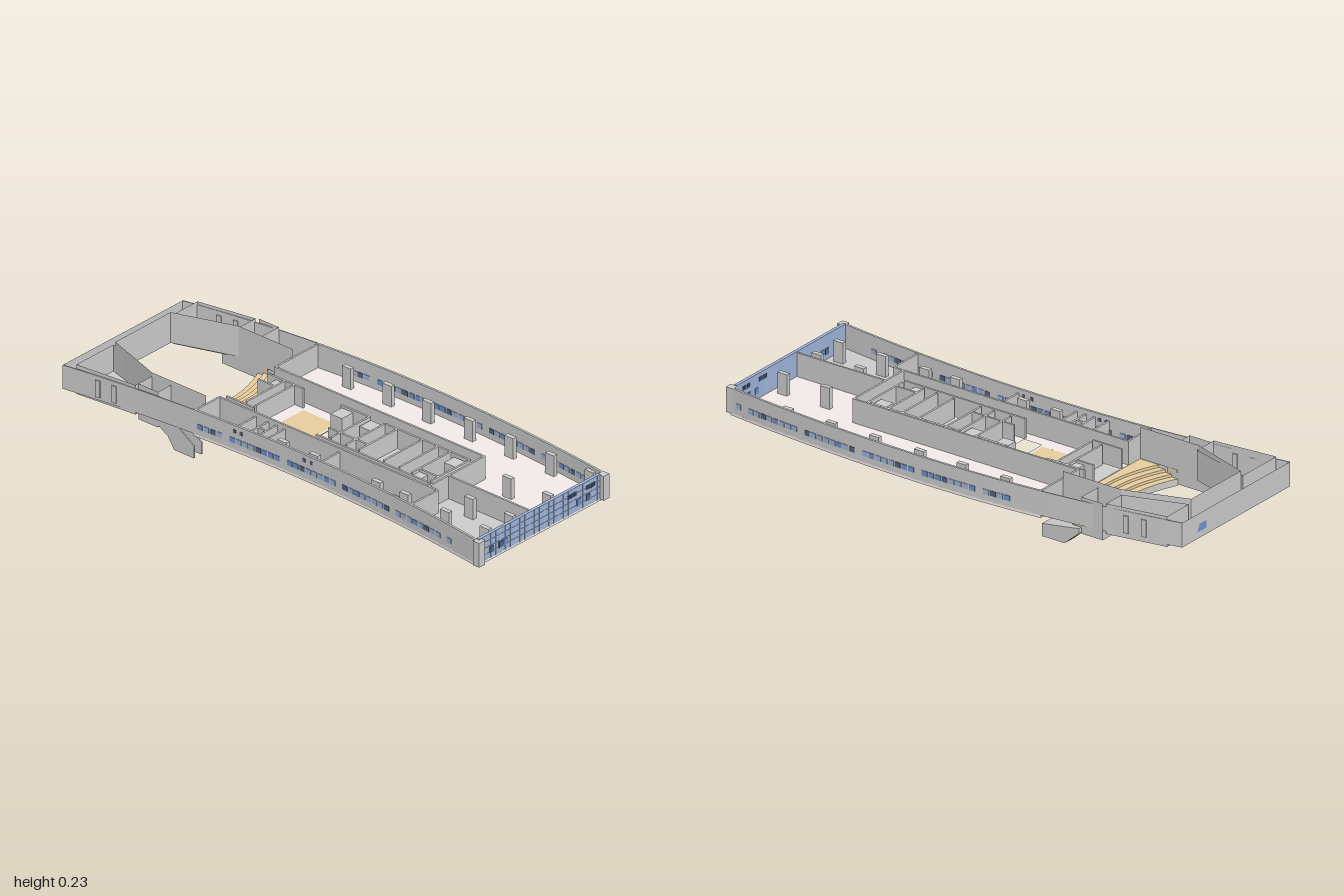
import * as THREE from 'three';

const mat = (color, side = THREE.FrontSide) =>
  new THREE.MeshStandardMaterial({ color, side, flatShading: true });
const GREY = mat(0xcccccc), PALE = mat(0xf2ebea), TAN = mat(0xe8ce9f), BLUE = mat(0x9fb3d9),
  DARK = mat(0x56647f), DEEP = mat(0x6f92cc), WHITE = mat(0xf4f4f4), SHEET = mat(0xcccccc, THREE.DoubleSide),
  TANSHEET = mat(0xe8ce9f, THREE.DoubleSide);

// Plan curves of the two long facades
const backZ = x => -0.382 + (x < 0.05 ? 0.097 : 0.069) * (x - 0.05) ** 2;
const frontZ = x => 0.295 + 0.075 * (x - 0.02) ** 2;
const curve = (f, x0, x1, n = 24) =>
  Array.from({ length: n + 1 }, (_, i) => { const x = x0 + (x1 - x0) * i / n; return [x, f(x)]; });

export function createModel() {
  const root = new THREE.Group();
  let group = root;
  const section = name => { group = new THREE.Group(); group.name = name; root.add(group); };
  const add = (name, geo, m) => {
    const mesh = new THREE.Mesh(geo, m);
    mesh.name = name;
    group.add(mesh);
    return mesh;
  };
  const box = (name, x0, x1, y0, y1, z0, z1, m = GREY) =>
    add(name, new THREE.BoxGeometry(x1 - x0, y1 - y0, z1 - z0), m)
      .position.set((x0 + x1) / 2, (y0 + y1) / 2, (z0 + z1) / 2);
  // Horizontal plate from an [x, z] outline, with rectangular holes [x0, x1, z0, z1]
  const plate = (name, pts, y0, y1, m = GREY, holes = []) => {
    const v = ([x, z]) => new THREE.Vector2(x, -z);
    const s = new THREE.Shape(pts.map(v));
    for (const [a, b, c, d] of holes) s.holes.push(new THREE.Path([[a, c], [b, c], [b, d], [a, d]].map(v)));
    const g = new THREE.ExtrudeGeometry(s, { depth: y1 - y0, bevelEnabled: false });
    add(name, g.rotateX(-Math.PI / 2).translate(0, y0, 0), m);
  };
  // Thin vertical sheet following [x, z] points
  const sheet = (name, pts, y0, y1, m = SHEET) => {
    const pos = [], idx = [];
    pts.forEach(([x, z], i) => {
      pos.push(x, y0, z, x, y1, z);
      if (i) { const k = 2 * i; idx.push(k - 2, k, k + 1, k - 2, k + 1, k - 1); }
    });
    const g = new THREE.BufferGeometry();
    g.setAttribute('position', new THREE.Float32BufferAttribute(pos, 3));
    g.setIndex(idx);
    g.computeVertexNormals();
    add(name, g, m);
  };
  const band = (name, f, x0, x1, y0, y1, t) =>
    plate(name, [...curve(f, x0, x1), ...curve(x => f(x) + t, x1, x0)], y0, y1);

  // Floor slab with light wells, and the coloured floor areas
  section('floors');
  const wells = [[-0.35, -0.31, -0.08, 0.11], [-0.08, 0.0, -0.08, 0.12], [0.0, 0.05, -0.08, 0.06],
    [0.13, 0.185, -0.09, 0.06], [0.31, 0.38, -0.08, 0.11], [-0.25, -0.09, -0.08, 0.11]];
  plate('mainFloor', [...curve(backZ, -0.43, 0.98), ...curve(frontZ, 0.98, -0.43)], 0.1, 0.111, PALE, wells);
  box('lobbyFloor', -0.25, -0.09, 0.1, 0.111, -0.08, 0.11, TAN);
  const frontArea = (name, x0, x1, z0, m, y0 = 0.11) =>
    plate(name, [[x0, z0], [x1, z0], ...curve(x => frontZ(x) - 0.004, x1, x0, 10)], y0, 0.1125, m);
  frontArea('frontRoomFloorA', -0.43, -0.25, 0.175, GREY);
  frontArea('frontTanFloor', -0.11, 0.15, 0.175, TAN, 0.099);
  frontArea('frontRoomFloorB', 0.15, 0.62, 0.175, GREY);
  frontArea('endRoomFloor', 0.62, 0.97, 0.065, GREY);
  box('endRoomFloorInner', 0.58, 0.62, 0.11, 0.1125, 0.065, 0.175);
  for (const [a, b, c, d] of [[-0.43, -0.355, -0.04, 0.115], [0.19, 0.31, -0.08, 0.11],
    [0.385, 0.44, -0.08, 0.11], [0.45, 0.53, -0.08, 0.075]])
    box('coreRoomFloor', a, b, 0.11, 0.1125, c, d);

  // Long facades and end walls
  section('outerWalls');
  band('backWall', backZ, -0.43, 1, 0.11, 0.207, 0.009);
  band('frontWall', frontZ, -0.43, 1, 0.11, 0.207, -0.009);
  band('backWingWall', backZ, -1, -0.43, 0.11, 0.207, 0.004);
  band('frontWingWall', frontZ, -1, -0.43, 0.11, 0.207, -0.004);
  sheet('leftEndWall', [[-1, backZ(-1)], [-1, frontZ(-1)]], 0.11, 0.207);
  box('frontPier', 0.97, 1, 0.108, 0.207, 0.342, 0.375);
  box('backPier', 0.97, 1, 0.108, 0.207, -0.325, -0.295);
  box('endGlazing', 0.97, 0.983, 0.111, 0.21, -0.297, 0.355, BLUE);

  // Mullions, openings and vents on the glazed end
  section('endGlazingDetails');
  const pane = mat(0xb4c3df);
  for (let z = -0.28; z < 0.35; z += 0.026) box('mullion', 0.97, 0.9845, 0.111, 0.21, z, z + 0.0015, pane);
  for (const y of [0.135, 0.16, 0.185]) box('transom', 0.97, 0.9845, y, y + 0.0015, -0.297, 0.355, pane);
  for (const [z, m] of [[0.29, DARK], [0.241, DARK], [0.215, DEEP], [-0.179, DEEP], [-0.229, DARK]])
    box('endWindow', 0.968, 0.986, 0.132, 0.157, z - 0.01, z + 0.01, m);
  for (const z of [-0.13, -0.155, -0.229, -0.254])
    for (const y of [0.177, 0.183, 0.189]) box('vent', 0.968, 0.986, y, y + 0.004, z - 0.01, z + 0.01, DARK);

  // Ribbon windows, set through the curved facades
  section('windows');
  const win = (f, x, w, y0, y1, m, inset) => {
    const slope = (f(x + 0.01) - f(x - 0.01)) / 0.02;
    const mesh = add('window', new THREE.BoxGeometry(w, y1 - y0, 0.013), m);
    mesh.position.set(x, (y0 + y1) / 2, f(x) + inset);
    mesh.rotation.y = -Math.atan(slope);
  };
  for (let i = 0; i < 42; i++) {
    const x = -0.4 + i * 0.03;
    if (i % 9 === 4) continue;
    const m = i % 7 === 2 ? DARK : (i > 8 && i < 17) || i % 5 === 0 ? DEEP : BLUE;
    win(frontZ, x, 0.024, 0.135, 0.155, m, -0.0045);
    win(backZ, x + 0.11, 0.024, 0.135, 0.155, m, 0.0045);
  }
  for (const x of [-0.24, -0.21, 0.09, 0.125]) win(frontZ, x, 0.012, 0.176, 0.19, DARK, -0.0045);
  for (const x of [-0.85, -0.78]) {
    win(frontZ, x, 0.02, 0.122, 0.19, WHITE, -0.002);
    win(backZ, x, 0.02, 0.122, 0.19, WHITE, 0.002);
  }
  box('leftEndWindow', -1.0, -0.997, 0.135, 0.165, -0.2, -0.13, DEEP);

  // Main partitions: [x0, x1, z0, z1]
  section('partitions');
  const t = 0.004;
  const lineX = (z, x0, x1, top = 0.205) => box('partition', x0, x1, 0.11, top, z - t, z + t);
  const lineZ = (x, z0, z1, top = 0.205) => box('partition', x - t, x + t, 0.11, top, z0, z1);
  lineX(-0.128, -0.43, 0.578);
  lineZ(0.576, -0.128, 0.172);
  lineX(0.172, -0.43, 0.62);
  lineZ(0.62, 0.172, 0.315);
  lineX(0.065, 0.576, 0.97);
  lineZ(-0.426, -0.355, -0.128);
  lineZ(-0.426, 0.172, 0.305);
  for (const x of [-0.25, -0.19, -0.15, -0.11, 0.15]) lineZ(x, 0.172, 0.296, 0.19);
  lineX(0.23, -0.19, -0.15, 0.19);

  // Service core
  section('coreRooms');
  for (const [a, b] of [[-0.43, -0.26], [-0.08, 0.06], [0.13, 0.54]]) lineX(-0.094, a, b, 0.19);
  for (const [a, b] of [[-0.43, -0.3], [0.0, 0.19], [0.19, 0.54]]) lineX(0.13, a, b, 0.19);
  for (const x of [-0.35, -0.305, 0.055, 0.13, 0.19, 0.31, 0.385, 0.445, 0.538]) lineZ(x, -0.094, 0.115, 0.19);
  lineX(0.063, 0.0, 0.19, 0.19);
  lineX(-0.04, -0.43, -0.35, 0.19);
  lineX(0.075, 0.445, 0.538, 0.19);
  for (const [a, b, c, d] of [[-0.39, -0.355, -0.09, -0.045], [-0.075, -0.02, -0.09, -0.03], [0.065, 0.12, -0.09, -0.03],
    [0.45, 0.49, 0.08, 0.125], [0.47, 0.525, -0.085, -0.03]]) box('shaft', a, b, 0.1, 0.18, c, d);

  section('columns');
  const column = (x, z) => box('column', x - 0.021, x + 0.021, 0.11, 0.195, z - 0.009, z + 0.009);
  for (const x of [-0.245, -0.05, 0.14, 0.34, 0.535, 0.73, 0.92]) column(x, -0.315);
  for (const x of [-0.05, 0.1, 0.4, 0.535, 0.73, 0.92]) column(x, 0.25);
  for (const x of [0.73, 0.92]) for (const z of [-0.085, 0.12]) column(x, z);

  // Curved seating steps: thin treads and risers going down to the left
  section('steps');
  const arc = (mid, n = 16) => Array.from({ length: n + 1 }, (_, i) => {
    const u = 2 * i / n - 1;
    return [mid - 0.055 * u * u, 0.007 + 0.232 * u];
  });
  const mids = [-0.543, -0.515, -0.487, -0.459];
  mids.forEach((m, i) => {
    const y = 0.077 + i * 0.011, next = mids[i + 1];
    const edge = next === undefined ? [[-0.43, 0.239], [-0.43, -0.225]] : arc(next).reverse();
    plate('tread', [...arc(m), ...edge], y - 0.003, y, TAN);
    if (i) sheet('riser', arc(m), y - 0.013, y, TANSHEET);
  });
  sheet('stepSkirt', arc(mids[0]), 0.05, 0.076);
  box('frontLanding', -0.595, -0.555, 0.1, 0.111, 0.239, 0.31, TAN);
  box('backLanding', -0.595, -0.555, 0.1, 0.111, -0.335, -0.225, TAN);

  // High screen around the open court
  section('courtScreen');
  sheet('screen', [[-0.43, -0.225], [-0.69, -0.225], [-0.94, -0.14], [-0.94, 0.157], [-0.69, 0.24], [-0.43, 0.24]], 0.11, 0.235);
  for (const z of [-0.225, 0.24]) sheet('lowerScreen', [[-0.77, z], [-0.55, z]], 0.055, 0.11);

  // Wedge rooms and link rooms in the two wings
  section('wingRooms');
  const wedges = [[[-0.94, -0.155], [-0.94, -0.285], [-0.7, -0.328], [-0.7, -0.235]],
    [[-0.95, 0.157], [-0.69, 0.23], [-0.69, 0.33], [-0.95, 0.355]]];
  for (const w of wedges) {
    plate('wedgeFloor', w, 0.1, 0.112);
    sheet('wedgeWall', [...w, w[0]], 0.1, 0.22);
  }
  box('frontLinkFloor', -0.69, -0.595, 0.075, 0.111, 0.25, 0.312);
  box('backLinkFloor', -0.69, -0.595, 0.075, 0.111, -0.335, -0.235);
  for (const z of [-0.335, 0.314]) sheet('linkWall', [[-0.69, z], [-0.595, z]], 0.075, 0.22);
  for (const [a, b] of [[-0.335, -0.235], [0.245, 0.314]]) sheet('linkCrossWall', [[-0.595, a], [-0.595, b]], 0.11, 0.22);

  // Stairs leaving the building downwards
  section('stairs');
  const profile = (name, pts, z, w) => add(name, new THREE.ExtrudeGeometry(
    new THREE.Shape(pts.map(p => new THREE.Vector2(...p))), { depth: w, bevelEnabled: false }).translate(0, 0, z), GREY);
  const flank = [[-0.6, 0.11], [-0.6, 0.085], [-0.55, 0.055], [-0.52, 0.01], [-0.425, 0.01], [-0.425, 0.06], [-0.5, 0.11]];
  for (const z of [0.267, 0.307]) profile('frontStairSide', flank, z, 0.005);
  profile('backStair', [[-0.595, 0.11], [-0.595, 0.085], [-0.5, 0.0], [-0.425, 0.0], [-0.425, 0.06], [-0.47, 0.06], [-0.54, 0.11]], -0.29, 0.04);
  profile('backStairLower', [[-0.595, 0.1], [-0.595, 0.08], [-0.53, 0.025], [-0.43, 0.025], [-0.43, 0.075]], -0.35, 0.06);
  return root;
}
